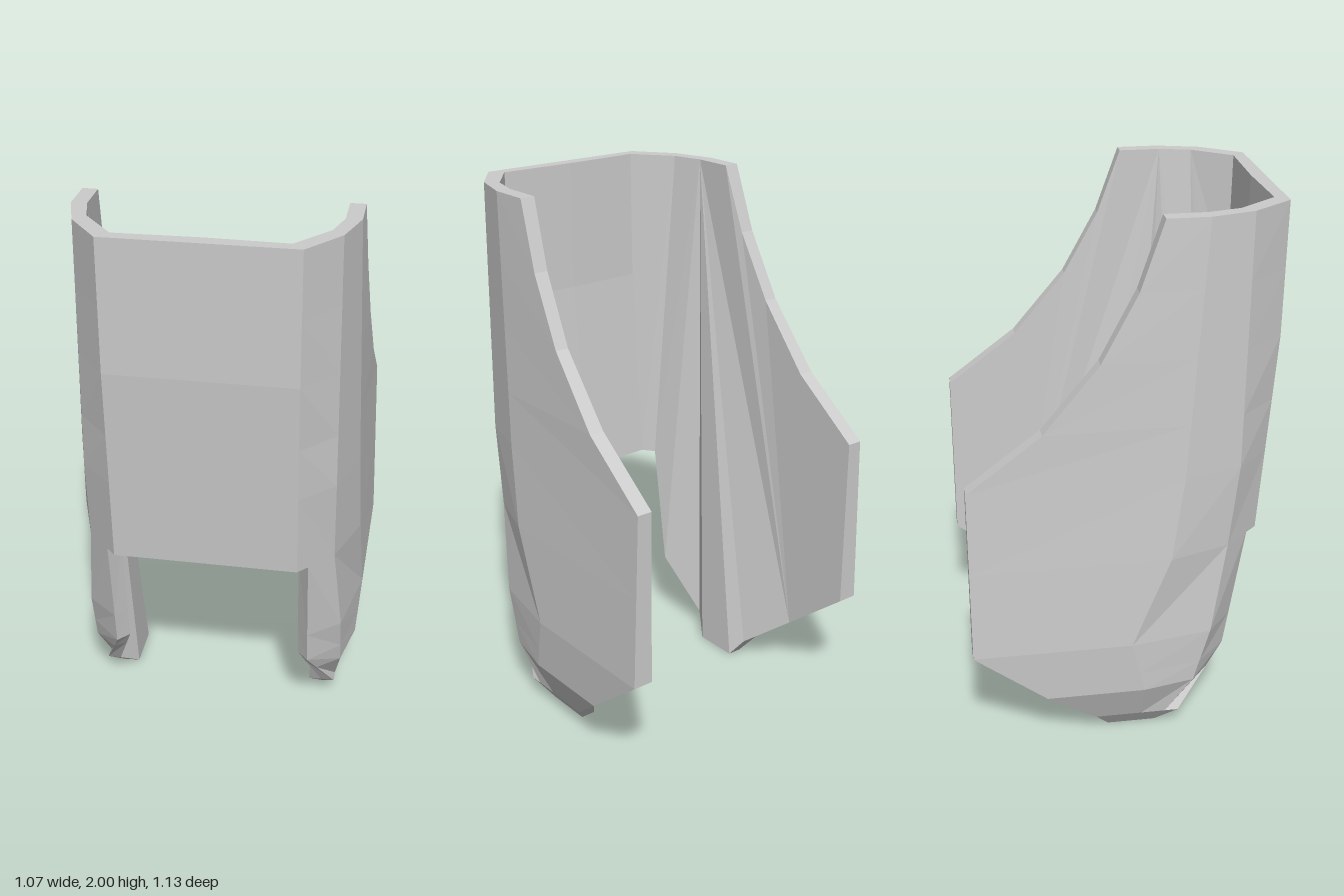
import * as THREE from 'three';

const material = new THREE.MeshStandardMaterial({ color: 0xcccccc, flatShading: true });

// Heights of the rows; the doubled one is where the front panel ends above the legs
const levels = [2, 1.76, 1.52, 1.28, 1.08, 0.77, 0.77, 0.43, 0.3, 0.22, 0.07, 0];
const LAST = levels.length - 1;
const CORNER = 5;

// Turns a few [y, x, z] points into a function giving the point at any height
function profile(...keys) {
  return (y) => {
    const i = Math.max(1, keys.findIndex((k) => k[0] <= y));
    const [a, b] = [keys[i - 1], keys[i]];
    const t = (y - a[0]) / (b[0] - a[0]);
    return new THREE.Vector3(a[1] + t * (b[1] - a[1]), y, a[2] + t * (b[2] - a[2]));
  };
}

// Upright lines of the left wing
const backLine = profile([2, .485, .115], [1.76, .495, .03], [1.52, .505, -.1], [1.28, .513, -.3],
  [1.08, .517, -.565], [.43, .535, -.565], [.22, .52, -.3], [.07, .455, -.11], [0, .405, -.06]);
const sideLine = profile([2, .485, .265], [1.08, .513, .195], [.77, .525, .15], [.43, .535, .01],
  [.22, .52, .06], [.07, .455, .06], [0, .405, 0]);
const bendLine = profile([2, .44, .42], [1.08, .45, .405], [.77, .45, .37], [.43, .48, .31],
  [.22, .48, .25], [.07, .455, .15], [0, .405, .06]);
const panelLine = profile([2, .33, .565], [1.52, .33, .557], [.77, .33, .5]);
const legLine = profile([.77, .365, .46], [.3, .365, .385], [.07, .455, .2], [0, .405, .12]);
const innerLegLine = profile([.77, .325, .41], [.3, .325, .34], [.07, .405, .2], [0, .35, .115]);
// Inner back edge: x only, its z follows the outer back edge
const innerBackLine = profile([2, .43, 0], [1.52, .455, 0], [1.08, .46, 0], [.43, .46, 0], [.22, .455, 0], [0, .35, 0]);

const back = levels.map(backLine);
const side = levels.map(sideLine);
const bend = levels.map(bendLine);
const front = levels.map((y, r) => (r <= CORNER ? panelLine(y) : legLine(y)));
const innerBack = levels.map((y, r) => innerBackLine(y).setZ(back[r].z));
const innerFront = levels.map((y, r) => (r <= CORNER
  ? panelLine(y).add(new THREE.Vector3(-.04, 0, -.045)) : innerLegLine(y)));

// Collects triangles and turns them into a mesh
function builder() {
  const triangles = [];
  const tri = (a, b, c) => {
    const t = new THREE.Triangle(a, b, c);
    if (t.getArea() > 1e-6) triangles.push(t);
  };
  const quad = (a, b, c, d) => { tri(a, b, c); tri(a, c, d); };
  const mesh = (name, mirror = false) => {
    const corners = triangles.flatMap(({ a, b, c }) => (mirror ? [a, c, b] : [a, b, c]));
    const geometry = new THREE.BufferGeometry().setFromPoints(corners);
    if (mirror) {
      const p = geometry.attributes.position;
      for (let i = 0; i < p.count; i++) p.setX(i, -p.getX(i));
    }
    geometry.computeVertexNormals();
    const result = new THREE.Mesh(geometry, material);
    result.name = name;
    return result;
  };
  return { tri, quad, mesh };
}

// One side wing: curved outside, faceted inside and a rim between them
function buildWing() {
  const b = builder();
  const columns = [back, side, bend, front];
  for (let r = 0; r < LAST; r++) {
    for (let c = 0; c < 3; c++) {
      const p = columns[c], q = columns[c + 1];
      b.tri(p[r], q[r], p[r + 1]);
      b.tri(q[r], q[r + 1], p[r + 1]);
    }
  }

  // Matching border loops: down the back, along the foot, up the front, over the top
  const outer = [...back, side[LAST], bend[LAST], ...[...front].reverse(), bend[0], side[0]];
  const foot = [1, 2].map((i) => innerBack[LAST].clone().lerp(innerFront[LAST], i / 3));
  const topFront = new THREE.Vector3(.40, 2, .38);
  const topSide = new THREE.Vector3(.43, 2, .265);
  const inner = [...innerBack, ...foot, ...[...innerFront].reverse(), topFront, topSide];
  const total = outer.length;
  const top = total - 3; // upper end of the front edge
  const join = top - CORNER; // where the panel starts on the front edge
  const heel = 9; // back corner of the bevelled foot

  // Rim, left open where the front panel joins
  for (let k = 0; k < total; k++) {
    if (k >= join && k < top) continue;
    const j = (k + 1) % total;
    b.quad(outer[k], outer[j], inner[j], inner[k]);
  }

  // Inside facets
  const fan = (apex, from, to) => {
    for (let k = from; k < to; k++) b.tri(apex, inner[k], inner[k + 1]);
  };
  fan(inner[heel], 0, heel - 1);
  b.tri(topSide, inner[0], inner[heel]);
  fan(topSide, heel, join - 1);
  b.tri(topSide, inner[join - 1], topFront);
  fan(topFront, join - 1, top);
  return b;
}

// Front panel between the two wings, its inside slightly thicker at the middle
function buildPanel() {
  const b = builder();
  const outside = (r, s) => front[r].clone().setX(s * front[r].x);
  const inside = (r, s) => {
    const p = innerFront[r];
    return new THREE.Vector3(s * p.x, p.y, p.z - (s === 0 ? .007 : 0));
  };
  for (const s of [-1, 0]) {
    const e = s + 1;
    for (let r = 0; r < CORNER; r++) {
      b.quad(outside(r, s), outside(r + 1, s), outside(r + 1, e), outside(r, e));
      b.quad(inside(r, s), inside(r, e), inside(r + 1, e), inside(r + 1, s));
    }
    b.quad(outside(0, s), outside(0, e), inside(0, e), inside(0, s));
    b.quad(outside(CORNER, s), inside(CORNER, s), inside(CORNER, e), outside(CORNER, e));
  }
  return b;
}

export function createModel() {
  const group = new THREE.Group();
  group.name = 'guardShell';
  const wing = buildWing();
  group.add(wing.mesh('leftWing'), wing.mesh('rightWing', true), buildPanel().mesh('frontPanel'));
  return group;
}
